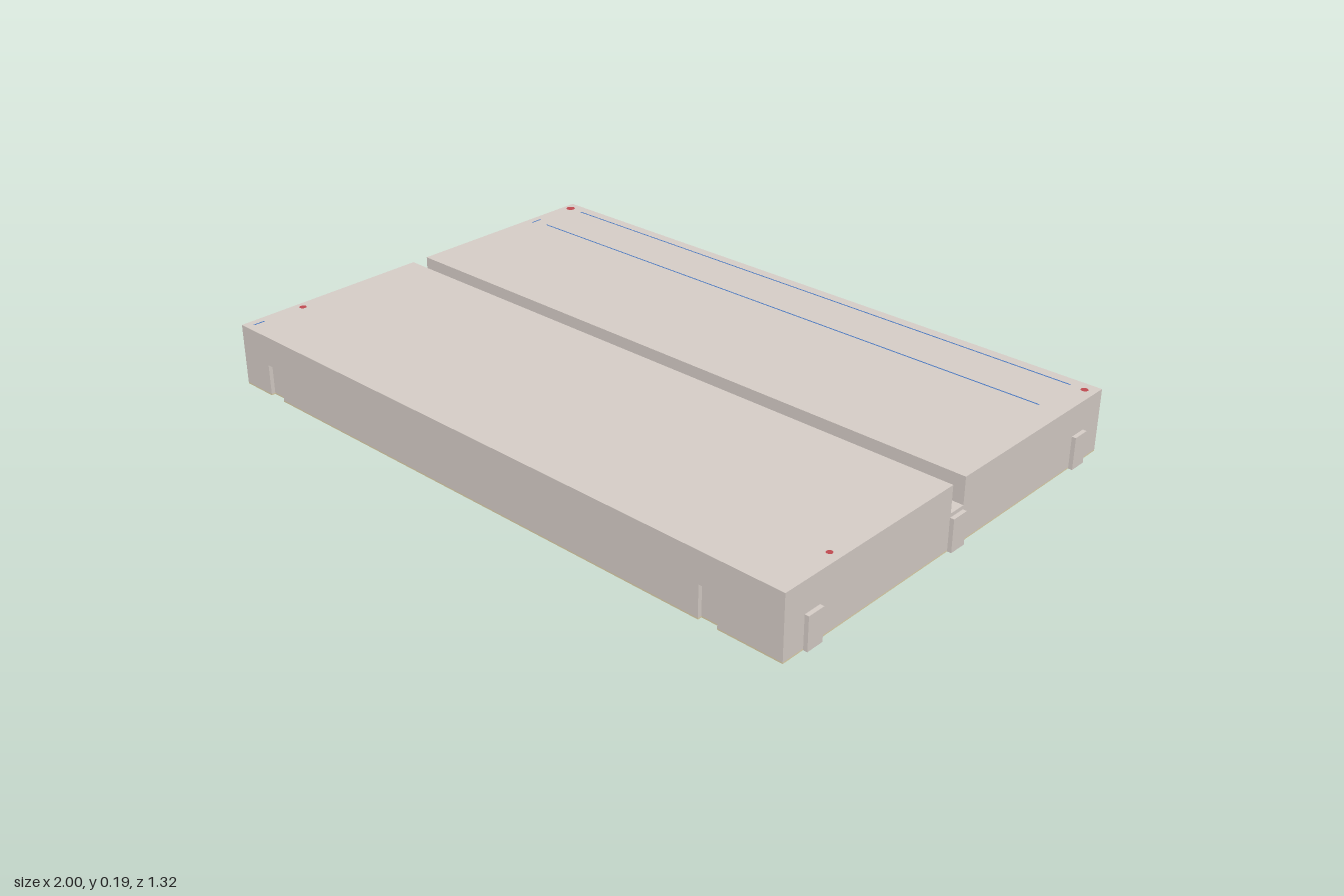
import * as THREE from 'three';

const LEFT = -1, RIGHT = 0.988, BACK = -0.651, FRONT = 0.66;
const HEIGHT = 0.185, GROOVE_Y = 0.106, CLIP_H = 0.095, CLIP_D = 0.012, SKIN = 0.004;
const CLIP_X = [-0.859, 0.769], CLIP_Z = [-0.546, 0.008, 0.562];
const HALF_X = 0.029, HALF_Z = 0.027;

function material(name, color) {
  const m = new THREE.MeshStandardMaterial({ color });
  m.name = name;
  return m;
}

export function createModel() {
  const stone = material('warm grey', 0xd7cec8);
  const olive = material('pale olive', 0xdfd2ad);
  const red = material('red', 0xc04a50);
  const blue = material('blue', 0x4a78c0);

  const model = new THREE.Group();
  model.name = 'tile';

  const add = (name, geometry, mat) => {
    const mesh = new THREE.Mesh(geometry, mat);
    mesh.name = name;
    model.add(mesh);
  };
  const block = (name, x0, x1, y0, y1, z0, z1) => {
    const g = new THREE.BoxGeometry(x1 - x0, y1 - y0, z1 - z0);
    g.translate((x0 + x1) / 2, (y0 + y1) / 2, (z0 + z1) / 2);
    add(name, g, stone);
  };

  // Footprint with clip sockets cut into the front and the -x side (shape y is -z)
  const points = [[LEFT, -FRONT]];
  for (const x of CLIP_X) {
    points.push([x - HALF_X, -FRONT], [x - HALF_X, -FRONT + CLIP_D],
      [x + HALF_X, -FRONT + CLIP_D], [x + HALF_X, -FRONT]);
  }
  points.push([RIGHT, -FRONT], [RIGHT, -BACK], [LEFT, -BACK]);
  for (const z of CLIP_Z) {
    points.push([LEFT, -z + HALF_Z], [LEFT + CLIP_D, -z + HALF_Z],
      [LEFT + CLIP_D, -z - HALF_Z], [LEFT, -z - HALF_Z]);
  }
  const footprint = new THREE.Shape(points.map(([x, y]) => new THREE.Vector2(x, y)));
  const layer = (name, y0, y1, mat) => {
    const g = new THREE.ExtrudeGeometry(footprint, { depth: y1 - y0, bevelEnabled: false });
    g.rotateX(-Math.PI / 2);
    g.translate(0, y0, 0);
    add(name, g, mat);
  };
  layer('underside', 0, SKIN, olive);
  layer('socketLayer', SKIN, CLIP_H, stone);

  // Solid layer under the groove, then the two raised slabs
  block('grooveFloor', LEFT, RIGHT, CLIP_H, GROOVE_Y, BACK, FRONT);
  block('backSlab', LEFT, RIGHT, GROOVE_Y, HEIGHT, BACK, -0.02);
  block('frontSlab', LEFT, RIGHT, GROOVE_Y, HEIGHT, 0.033, FRONT);

  // Clips standing out from the back and the +x side
  for (const x of CLIP_X) block('backClip', x - HALF_X, x + HALF_X, 0, CLIP_H, -0.66, BACK);
  for (const z of CLIP_Z) block('sideClip', RIGHT, 1, 0, CLIP_H, z - HALF_Z, z + HALF_Z);

  // Fine painted marks lying on the slabs
  const paint = (name, geometry, x, z, mat) => {
    geometry.rotateX(-Math.PI / 2);
    geometry.translate(x, HEIGHT + 0.001, z);
    add(name, geometry, mat);
  };
  for (const [x, z, r] of [[-0.973, -0.615, 0.015], [0.957, -0.615, 0.011],
    [-0.973, 0.468, 0.011], [0.957, 0.468, 0.009]]) {
    paint('cornerDot', new THREE.CircleGeometry(r, 8), x, z, red);
  }
  for (const z of [-0.46, 0.62]) paint('edgeTick', new THREE.PlaneGeometry(0.005, 0.036), -0.973, z, blue);
  for (const z of [-0.615, -0.46]) paint('guideLine', new THREE.PlaneGeometry(1.84, 0.005), -0.005, z, blue);

  return model;
}
